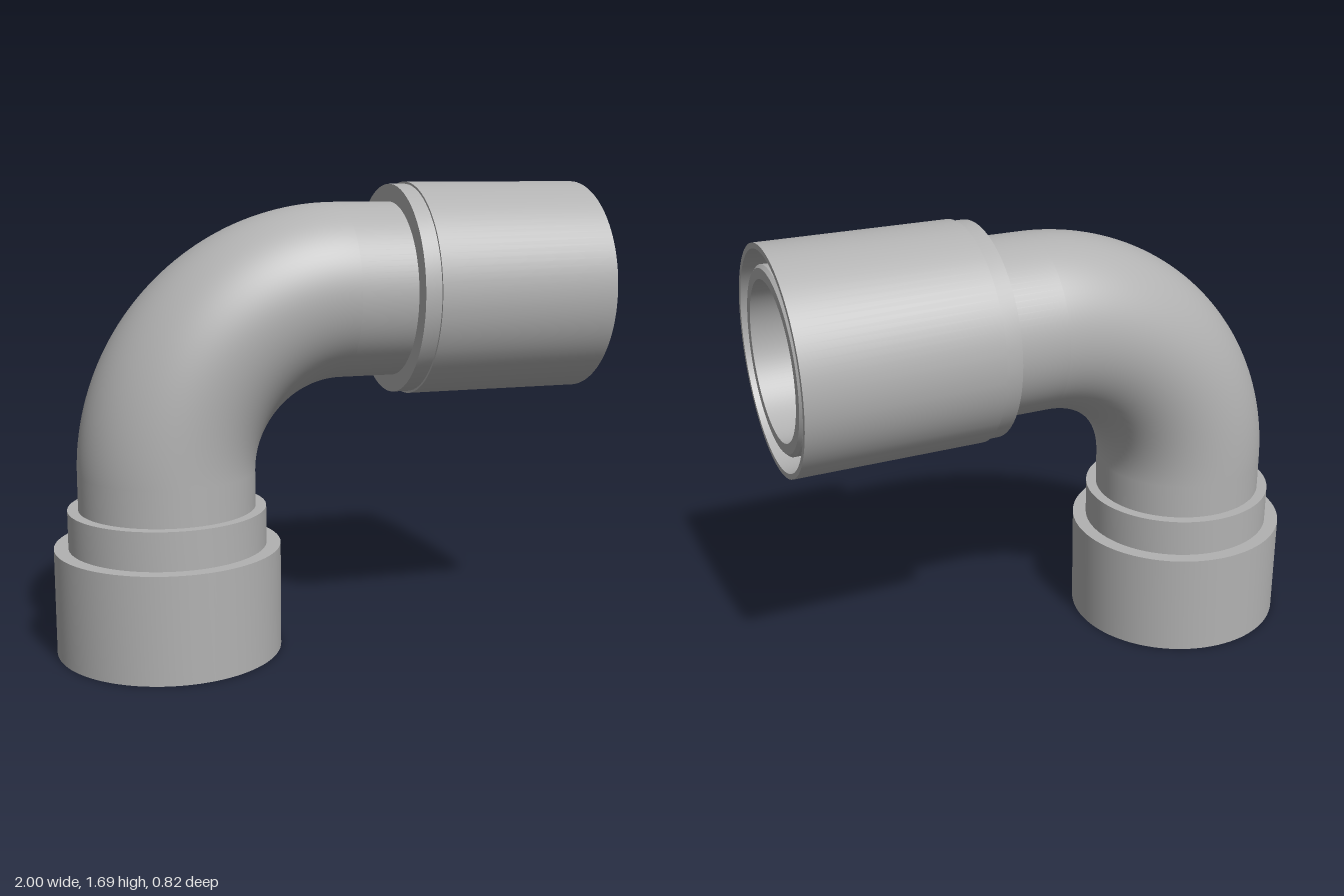
import * as THREE from 'three';
import { toCreasedNormals } from 'three/addons/utils/BufferGeometryUtils.js';

const AXIS_X = -0.588;  // centre line of the upright end
const AXIS_Y = 1.3;     // centre line of the horizontal end
const BEND = 0.64;      // bend radius of the centre line
const OUTER = 0.321, BORE = 0.274;

export function createModel() {
  const group = new THREE.Group();
  group.name = 'pipeElbow';
  const grey = new THREE.MeshStandardMaterial({ color: 0xb2b2b2, side: THREE.DoubleSide });
  grey.name = 'pipe grey';

  const add = (name, geometry) => {
    const mesh = new THREE.Mesh(geometry, grey);
    mesh.name = name;
    group.add(mesh);
    return mesh;
  };

  // Turned part from [radius, distance along axis] pairs
  const turned = (name, profile, horizontal) => {
    const points = profile.map(([r, d]) => new THREE.Vector2(r, d));
    const geometry = toCreasedNormals(new THREE.LatheGeometry(points, 96), 0.5);
    if (horizontal) geometry.rotateZ(-Math.PI / 2).translate(0, AXIS_Y, 0);
    else geometry.translate(AXIS_X, 0, 0);
    return add(name, geometry);
  };

  // Quarter bend, outside skin and bore
  const bendX = AXIS_X + BEND, bendY = AXIS_Y - BEND;
  for (const [name, radius] of [['bendOutside', OUTER], ['bendBore', BORE]]) {
    const geometry = new THREE.TorusGeometry(BEND, radius, 96, 48, Math.PI / 2);
    geometry.rotateZ(Math.PI / 2).translate(bendX, bendY, 0);
    add(name, geometry);
  }

  // Horizontal pipe with a chamfered mouth
  turned('horizontalPipe', [
    [OUTER, bendX], [OUTER, 0.982], [0.31, 0.993], [BORE, 0.993], [BORE, bendX],
  ], true);

  // Upright pipe running down into the socket
  turned('uprightPipe', [
    [BORE, bendY], [BORE, 0.32], [OUTER, 0.32], [OUTER, bendY],
  ], false);

  // Sleeve around the horizontal end, with collar and tapered annular recess
  turned('sleeve', [
    [OUTER, 0.26], [0.385, 0.26], [0.385, 0.32], [0.393, 0.32], [0.393, 1],
    [0.374, 1], [0.352, 0.7], [OUTER, 0.7],
  ], true);

  // Stepped socket at the foot, open underneath
  turned('socket', [
    [BORE, 0.32], [0.4, 0.32], [0.405, 0], [0.412, 0], [0.412, 0.39],
    [0.36, 0.39], [0.36, 0.53], [OUTER, 0.53],
  ], false);

  return group;
}
